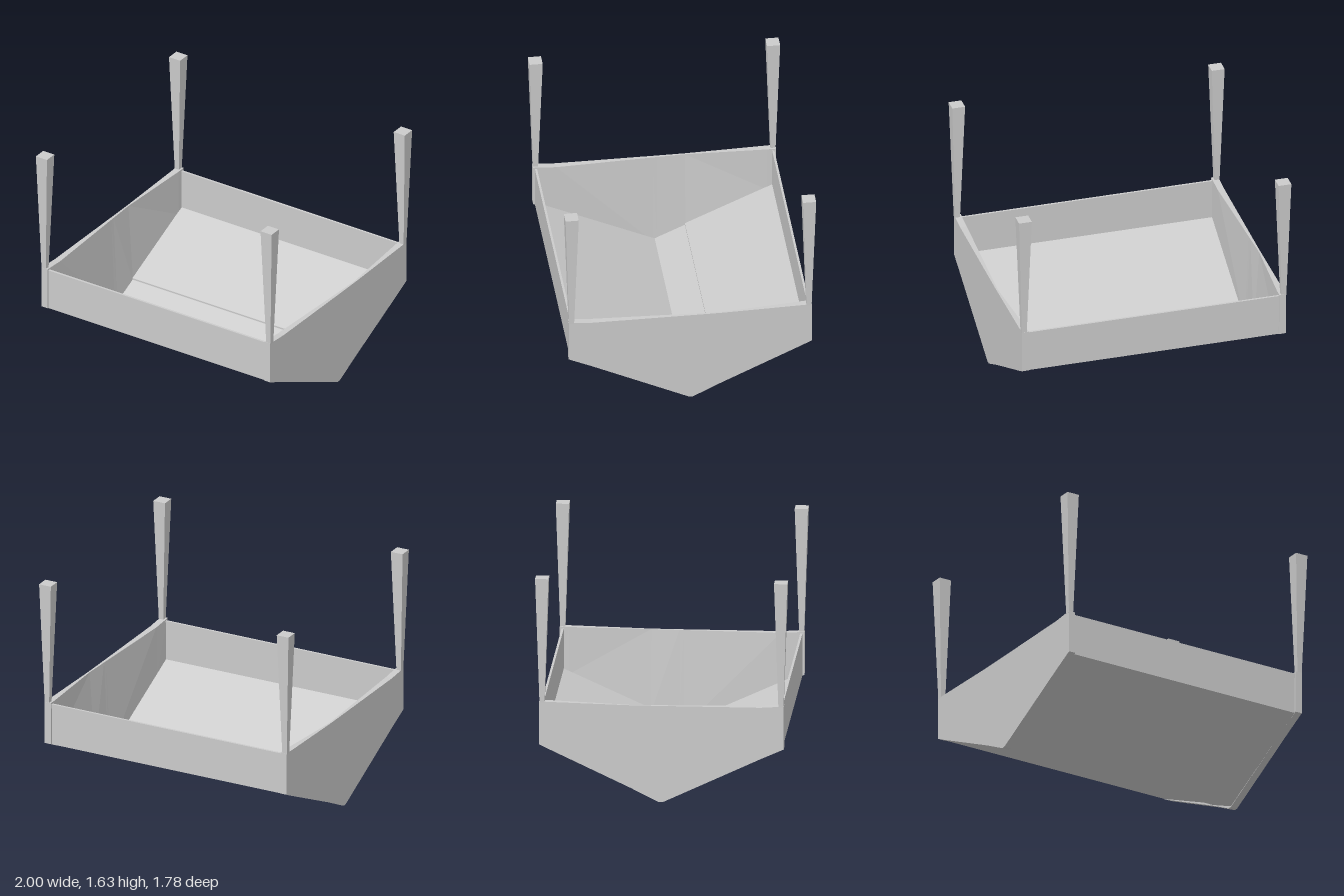
import * as THREE from 'three';

const material = new THREE.MeshStandardMaterial({ color: 0xcccccc, flatShading: true, side: THREE.DoubleSide });

function add(parent, name, geometry) {
  const mesh = new THREE.Mesh(geometry, material);
  mesh.name = name;
  parent.add(mesh);
  return mesh;
}

// Panel running across the width, from a [z, y] profile
function crossPanel(profile, width) {
  const shape = new THREE.Shape(profile.map(([z, y]) => new THREE.Vector2(z, y)));
  const geometry = new THREE.ExtrudeGeometry(shape, { depth: width, bevelEnabled: false });
  return geometry.translate(0, 0, -width / 2).rotateY(-Math.PI / 2);
}

// Pointed side wall, lofted from front to back through four-cornered sections
function sideWall() {
  // z, bottom y, top y, inner x of the rim
  const stations = [
    [0.865, 0.405, 0.72, 0.92],
    [0.7, 0.33, 0.708, 0.922],
    [0.01, 0, 0.706, 0.95],
    [-0.02, 0, 0.706, 0.951],
    [-0.22, 0.1, 0.706, 0.958],
    [-0.8, 0.373, 0.718, 0.922],
    [-0.865, 0.405, 0.72, 0.92],
  ];
  const sections = stations.map(([z, bottom, top, rim]) => [
    [0.97, bottom, z], [0.97, top, z], [rim, top, z], [0.918, bottom, z],
  ]);
  const points = [];
  const quad = (a, b, c, d) => points.push(...a, ...b, ...c, ...a, ...c, ...d);
  quad(...sections[0]);
  for (let k = 0; k < sections.length - 1; k++) {
    const a = sections[k], b = sections[k + 1];
    for (let i = 0; i < 4; i++) {
      const j = (i + 1) % 4;
      quad(a[i], b[i], b[j], a[j]);
    }
  }
  quad(...sections[sections.length - 1].slice().reverse());
  const geometry = new THREE.BufferGeometry();
  geometry.setAttribute('position', new THREE.Float32BufferAttribute(points, 3));
  geometry.computeVertexNormals();
  return geometry;
}

export function createModel() {
  const model = new THREE.Group();
  model.name = 'postedTrough';

  // Side walls, the right one mirrored
  const wall = sideWall();
  add(model, 'leftSideWall', wall);
  add(model, 'rightSideWall', wall).scale.x = -1;

  // Front and back walls
  for (const [name, s] of [['frontWall', 1], ['backWall', -1]]) {
    add(model, name, crossPanel([
      [0.836 * s, 0.4], [0.852 * s, 0.4], [0.852 * s, 0.707], [0.836 * s, 0.707],
    ], 1.85));
  }

  // Sloping floor: one front board, two back boards with a small step between
  add(model, 'frontFloor', crossPanel([[0.01, 0.006], [0.85, 0.4], [0.84, 0.415], [0, 0.024]], 1.85));
  add(model, 'backLowerFloor', crossPanel([[0.01, 0.006], [0, 0.024], [-0.225, 0.126], [-0.225, 0.108]], 1.85));
  add(model, 'backUpperFloor', crossPanel([[-0.215, 0.116], [-0.215, 0.134], [-0.845, 0.418], [-0.852, 0.402]], 1.85));

  // Four square posts that widen upwards
  const post = new THREE.CylinderGeometry(0.047 * Math.SQRT2, 0.018 * Math.SQRT2, 0.915, 4);
  post.rotateY(Math.PI / 4).translate(0, 0.7125 + 0.4575, 0);
  for (const [side, x] of [['Left', 0.953], ['Right', -0.953]]) {
    for (const [end, z] of [['front', 0.845], ['back', -0.845]]) {
      add(model, `${end}${side}Post`, post).position.set(x, 0, z);
    }
  }
  return model;
}
